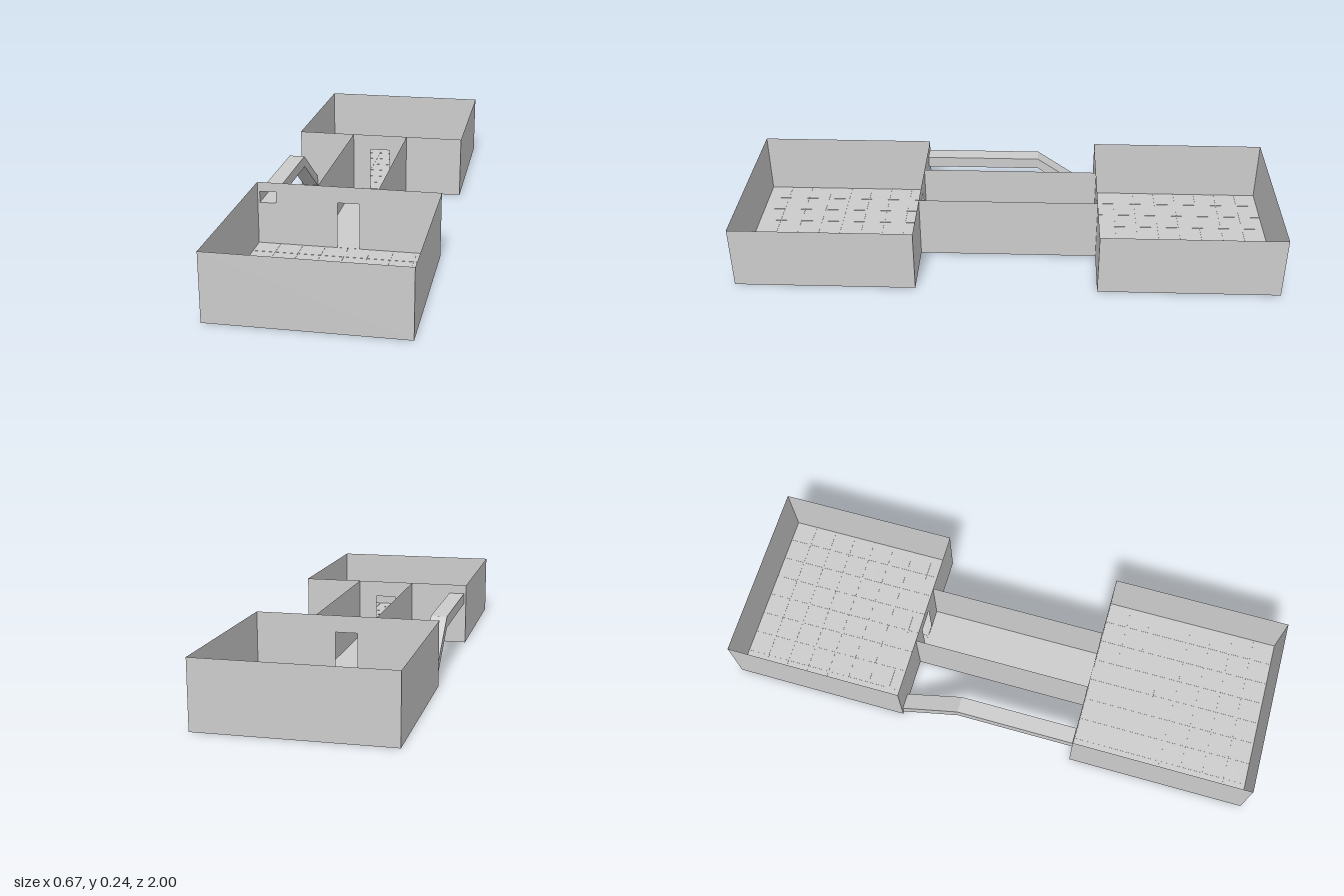
import * as THREE from 'three';

const HALF = 0.333;      // half room width, and distance of the inner walls from the middle
const HEIGHT = 0.238;
const FLOOR = 0.005;
const HALL = 0.11;       // half hallway width
const DUCT = { x0: -0.325, x1: -0.265, h: 0.042 };

const material = new THREE.MeshStandardMaterial({ color: 0xcccccc, side: THREE.DoubleSide });

function add(parent, geometry, name) {
  const mesh = new THREE.Mesh(geometry, material);
  mesh.name = name;
  parent.add(mesh);
  return mesh;
}

// Thin upright wall, w wide, with rectangular openings [x0, x1, y0, y1]
function wallGeometry(w, openings = []) {
  const rect = (P, x0, x1, y0, y1) => {
    const p = new P();
    p.moveTo(x0, y0);
    p.lineTo(x1, y0);
    p.lineTo(x1, y1);
    p.lineTo(x0, y1);
    p.closePath();
    return p;
  };
  const shape = rect(THREE.Shape, -w / 2, w / 2, 0, HEIGHT);
  openings.forEach(o => shape.holes.push(rect(THREE.Path, ...o)));
  return new THREE.ShapeGeometry(shape);
}

function slab(parent, w, d, z, name) {
  add(parent, new THREE.BoxGeometry(w, FLOOR, d), name).position.set(0, FLOOR / 2, z);
}

// Open-topped room on the front (side = 1) or back (side = -1)
function room(side, ductY) {
  const g = new THREE.Group();
  g.name = side > 0 ? 'frontRoom' : 'backRoom';
  const depth = 1 - HALF, mid = side * (1 + HALF) / 2;
  slab(g, 2 * HALF, depth, mid, 'roomFloor');

  const door = [-0.04, 0.04, 0.006, 0.177];
  const vent = [DUCT.x0, DUCT.x1, ductY, ductY + DUCT.h];
  add(g, wallGeometry(2 * HALF, [door, vent]), 'doorWall').position.z = side * HALF;
  add(g, wallGeometry(2 * HALF), 'endWall').position.z = side;
  for (const s of [-1, 1]) {
    const wall = add(g, wallGeometry(depth), 'sideWall');
    wall.rotation.y = Math.PI / 2;
    wall.position.set(s * HALF, 0, mid);
  }

  // Square floor tiles with narrow seams
  const n = 8, step = 2 * HALF / n;
  const tile = new THREE.BoxGeometry(step - 0.002, 0.001, step - 0.002);
  for (let i = 0; i < n; i++) {
    for (let j = 0; j < n; j++) {
      add(g, tile, 'floorTile').position.set(
        (i + 0.5) * step - HALF, FLOOR + 0.0005, mid + (j + 0.5) * step - depth / 2);
    }
  }
  return g;
}

// Hallway without a ceiling between the rooms
function hallway() {
  const g = new THREE.Group();
  g.name = 'hallway';
  slab(g, 2 * HALL, 2 * HALF, 0, 'hallFloor');
  for (const s of [-1, 1]) {
    const wall = add(g, wallGeometry(2 * HALF), 'hallWall');
    wall.rotation.y = Math.PI / 2;
    wall.position.x = s * HALL;
  }
  return g;
}

// Open-ended rectangular duct through stations [z, bottom y]
function ductGeometry(stations) {
  const ring = ([z, y]) => [
    [DUCT.x0, y, z], [DUCT.x1, y, z], [DUCT.x1, y + DUCT.h, z], [DUCT.x0, y + DUCT.h, z]
  ];
  const pos = [];
  for (let i = 0; i + 1 < stations.length; i++) {
    const a = ring(stations[i]), b = ring(stations[i + 1]);
    for (let k = 0; k < 4; k++) {
      const m = (k + 1) % 4;
      pos.push(...a[k], ...a[m], ...b[m], ...a[k], ...b[m], ...b[k]);
    }
  }
  const geo = new THREE.BufferGeometry();
  geo.setAttribute('position', new THREE.Float32BufferAttribute(pos, 3));
  geo.computeVertexNormals();
  return geo;
}

export function createModel() {
  const model = new THREE.Group();
  model.name = 'twoRoomsWithHallway';
  const low = 0.006, high = 0.161;
  model.add(room(1, high), room(-1, low), hallway());
  add(model, ductGeometry([[-HALF, low], [-0.107, high], [HALF, high]]), 'ventDuct');
  return model;
}
